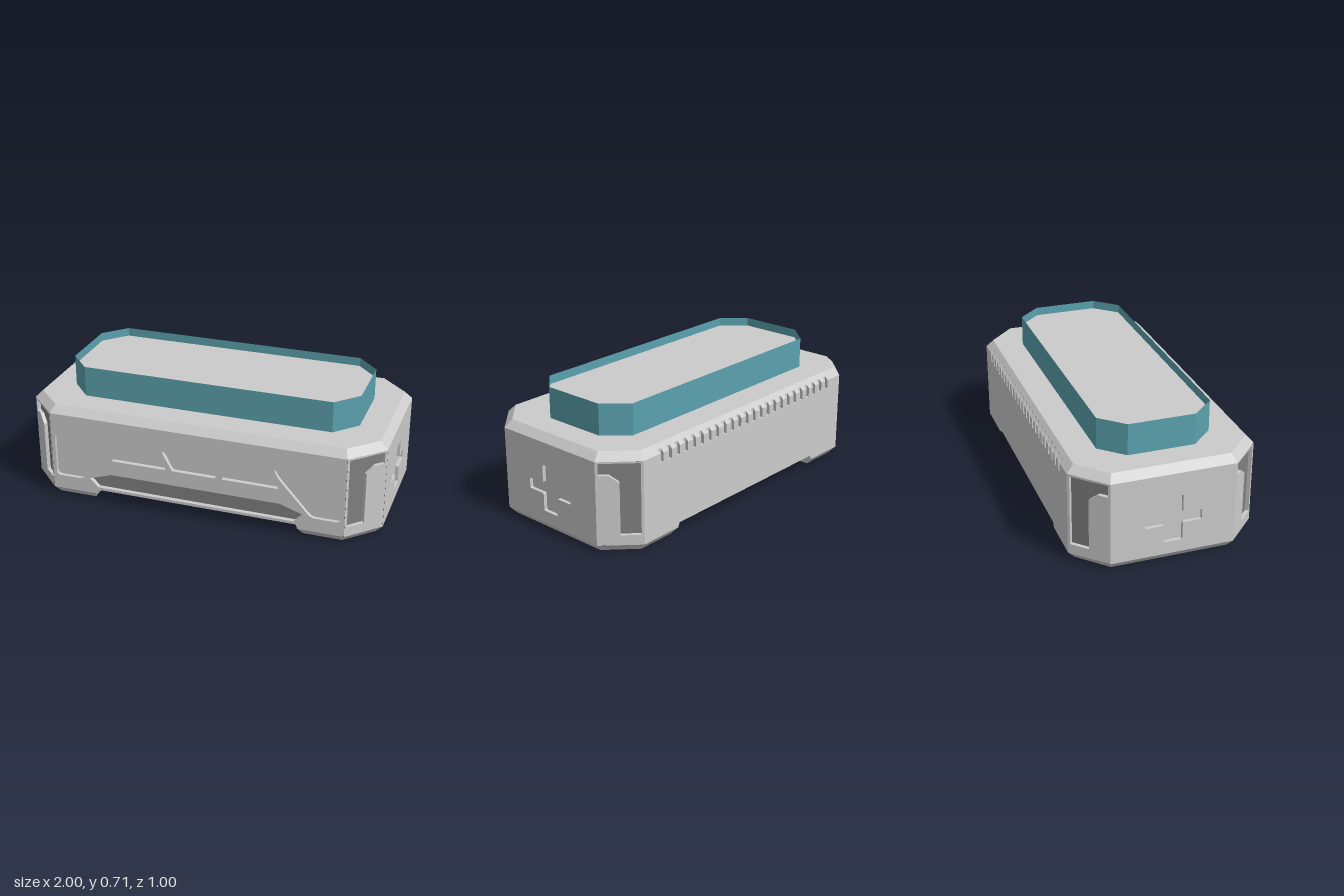
import * as THREE from 'three';

const grey = new THREE.MeshStandardMaterial({ color: 0xcccccc, flatShading: true });
const greyThin = new THREE.MeshStandardMaterial({ color: 0xcccccc, flatShading: true, side: THREE.DoubleSide });
const dark = new THREE.MeshStandardMaterial({ color: 0x808080, flatShading: true });
const teal = new THREE.MeshStandardMaterial({ color: 0x5ba2ae, flatShading: true, side: THREE.DoubleSide });

function mesh(name, geometry, material = grey) {
  const m = new THREE.Mesh(geometry, material);
  m.name = name;
  return m;
}

// Flat convex faces, each a list of [x, y, z] corners, counter-clockwise from outside
function faces(list) {
  const pos = [];
  for (const f of list)
    for (let i = 1; i < f.length - 1; i++) pos.push(...f[0], ...f[i], ...f[i + 1]);
  const g = new THREE.BufferGeometry();
  g.setAttribute('position', new THREE.Float32BufferAttribute(pos, 3));
  g.computeVertexNormals();
  return g;
}

// Octagon with cut corners, counter-clockwise from above
const octagon = (x, z, cx, cz, y) => [
  [-cx, y, z], [cx, y, z], [x, y, cz], [x, y, -cz],
  [cx, y, -z], [-cx, y, -z], [-x, y, -cz], [-x, y, cz]];

// Quads between two matching rows of points
function band(lo, hi, closed = true, skip = -1) {
  const out = [];
  for (let i = 0; i < lo.length - (closed ? 0 : 1); i++) {
    const j = (i + 1) % lo.length;
    if (i !== skip) out.push([lo[i], lo[j], hi[j], hi[i]]);
  }
  return out;
}

const toVectors = (pts) => pts.map((p) => new THREE.Vector2(...p));

// Counter-clockwise outline with softened corners
function rounded(pts, r) {
  const v = toVectors(pts);
  if (THREE.ShapeUtils.isClockWise(v)) v.reverse();
  if (!r) return v;
  const out = [];
  v.forEach((p, i) => {
    const a = v[(i + v.length - 1) % v.length], b = v[(i + 1) % v.length];
    const s = p.clone().add(a.clone().sub(p).setLength(r));
    const e = p.clone().add(b.clone().sub(p).setLength(r));
    out.push(...new THREE.QuadraticBezierCurve(s, p, e).getPoints(4));
  });
  return out;
}

// Flat panel facing local +z, with sunken recesses { pts, r, depth, floor }
function panel(name, outline, recesses = []) {
  const group = new THREE.Group();
  group.name = name;
  const shape = new THREE.Shape(toVectors(outline));
  for (const { pts, r = 0, depth, floor = grey } of recesses) {
    const loop = rounded(pts, r);
    shape.holes.push(new THREE.Path(loop));
    const top = loop.map((p) => [p.x, p.y, 0]);
    const low = loop.map((p) => [p.x, p.y, -depth]);
    group.add(mesh('recessWall', faces(band(top, low))));
    const base = new THREE.ShapeGeometry(new THREE.Shape(loop));
    group.add(mesh('recessFloor', base.translate(0, 0, -depth), floor));
  }
  group.add(mesh('panelFace', new THREE.ShapeGeometry(shape)));
  return group;
}

const mirrorX = (pts) => pts.map(([x, y]) => [-x, y]);

// Main sizes
const LOW = 0.045, HIGH = 0.5, TOP = 0.54, GAP = 0.07;
const SLOTS = 24, SLOT_W = 0.024, SLOT_LOW = 0.45, SLOT_D = 0.018;
const slotX = (i) => -0.7 + (1.4 * i) / (SLOTS - 1);

// Edge running right to left at height y, with a notch to height n at each slot
function notchedEdge(y, n) {
  const out = [];
  for (let i = SLOTS - 1; i >= 0; i--) {
    const a = slotX(i) + SLOT_W / 2, b = slotX(i) - SLOT_W / 2;
    out.push([a, y], [a, n], [b, n], [b, y]);
  }
  return out;
}

export function createModel() {
  const model = new THREE.Group();
  model.name = 'case';

  // Front panel with sunken decoration
  const lowerEdge = [[-0.83, LOW], [-0.58, LOW], [-0.569, GAP], [0.569, GAP], [0.58, LOW], [0.83, LOW]];
  const cornerPocket = [[-0.81, 0.375], [-0.44, 0.375], [-0.47, 0.325], [-0.65, 0.125], [-0.81, 0.125]];
  const trapezoid = [[-0.375, 0.372], [-0.205, 0.372], [-0.158, 0.265], [-0.475, 0.265]];
  const middle = [[-0.18, 0.372], [0.18, 0.372], [0.122, 0.265], [-0.122, 0.265]];
  const scoop = [[-0.61, 0.135], [-0.48, 0.178], [0.48, 0.178], [0.61, 0.135], [0.56, 0.086], [-0.56, 0.086]];
  const front = panel('frontPanel', [...lowerEdge, [0.83, HIGH], [-0.83, HIGH]], [
    ...[cornerPocket, mirrorX(cornerPocket)].map((pts) => ({ pts, r: 0.025, depth: 0.02 })),
    ...[trapezoid, mirrorX(trapezoid), middle].map((pts) => ({ pts, r: 0.008, depth: 0.025 })),
    { pts: scoop, depth: 0.025, floor: dark },
  ]);
  front.position.z = 0.5;
  model.add(front);

  // Back panel and its bevel, both notched by the vent slots
  const back = panel('backPanel', [...lowerEdge, [0.83, HIGH], ...notchedEdge(HIGH, SLOT_LOW), [-0.83, HIGH]]);
  back.position.z = -0.5;
  back.rotation.y = Math.PI;
  const slope = 0.04 * Math.SQRT2;
  const backBevel = panel('backBevel', [[0.83, 0], [0.813, slope], [-0.813, slope], [-0.83, 0],
    ...notchedEdge(0, SLOT_D * Math.SQRT2).reverse()]);
  backBevel.position.set(0, HIGH, -0.5);
  backBevel.rotation.set(-Math.PI / 4, Math.PI, 0, 'YXZ');
  model.add(back, backBevel);

  // Vent slot interiors
  const slotProfile = [[HIGH, -0.5], [SLOT_LOW, -0.5], [SLOT_LOW, -0.5 + SLOT_D], [HIGH + SLOT_D, -0.5 + SLOT_D]];
  for (let i = 0; i < SLOTS; i++) {
    const [a, b] = [-1, 1].map((s) => slotProfile.map(([y, z]) => [slotX(i) + (s * SLOT_W) / 2, y, z]));
    model.add(mesh('ventSlot', faces([a, b, ...band(a, b, false).slice(1)]), greyThin));
  }

  // End panels with a sunken cross
  const cross = [[-0.05, 0.115], [0.05, 0.115], [0.05, 0.213], [0.152, 0.213], [0.152, 0.272], [0.05, 0.272],
    [0.05, 0.374], [-0.05, 0.374], [-0.05, 0.272], [-0.152, 0.272], [-0.152, 0.213], [-0.05, 0.213]];
  for (const s of [1, -1]) {
    const end = panel('endPanel', [[-0.333, LOW], [0.333, LOW], [0.333, HIGH], [-0.333, HIGH]],
      [{ pts: cross, r: 0.009, depth: 0.02 }]);
    end.position.x = s;
    end.rotation.y = (s * Math.PI) / 2;
    model.add(end);
  }

  // Corner panels with a sunken grip, mirrored around the body
  const w = Math.hypot(0.17, 0.167), h = w / 2;
  const grip = [[0.06, 0.1], [0.5, 0.1], [0.5, 0.385], [0.72, 0.425], [0.945, 0.425], [0.945, 0.49], [0.06, 0.49]]
    .map(([t, y]) => [t * w - h, y]);
  for (let k = 0; k < 4; k++) {
    const corner = panel('cornerPanel', [[-h, LOW], [h, LOW], [h, HIGH], [-h, HIGH]],
      [{ pts: k % 2 ? mirrorX(grip) : grip, r: 0.004, depth: 0.02, floor: dark }]);
    corner.position.set(k < 2 ? 0.915 : -0.915, 0, k % 3 ? -0.4165 : 0.4165);
    corner.rotation.y = Math.PI / 4 + (k * Math.PI) / 2;
    model.add(corner);
  }

  // Top bevel and lid
  const rim = octagon(0.96, 0.46, 0.813, 0.316, TOP);
  model.add(mesh('topBevel', faces(band(octagon(1, 0.5, 0.83, 0.333, HIGH), rim, true, 4))));
  model.add(mesh('lid', faces([rim])));

  // Feet on either side of the underside channel
  const sole = [[0.6, 0, 0.46], [0.813, 0, 0.46], [0.96, 0, 0.316],
    [0.96, 0, -0.316], [0.813, 0, -0.46], [0.6, 0, -0.46]];
  const ankle = [[0.58, LOW, 0.5], [0.83, LOW, 0.5], [1, LOW, 0.333],
    [1, LOW, -0.333], [0.83, LOW, -0.5], [0.58, LOW, -0.5]];
  const ramp = [[0.569, GAP, -0.5], ankle[5], sole[5], sole[0], ankle[0], [0.569, GAP, 0.5]];
  const footGeometry = faces([...band(sole, ankle, false), [...sole].reverse(), ramp]);
  for (const turn of [0, Math.PI]) {
    const foot = mesh('foot', footGeometry);
    foot.rotation.y = turn;
    model.add(foot);
  }
  const channel = mesh('undersideChannel', new THREE.PlaneGeometry(1.138, 1));
  channel.rotation.x = Math.PI / 2;
  channel.position.y = GAP;
  model.add(channel);

  // Thin coloured collar with a plate set just below its rim
  const collar = (y) => octagon(0.817, 0.305, 0.7, 0.18, y);
  model.add(mesh('collar', faces(band(collar(TOP), collar(0.712))), teal));
  model.add(mesh('collarPlate', faces([octagon(0.815, 0.303, 0.699, 0.179, 0.665)]), greyThin));

  return model;
}
